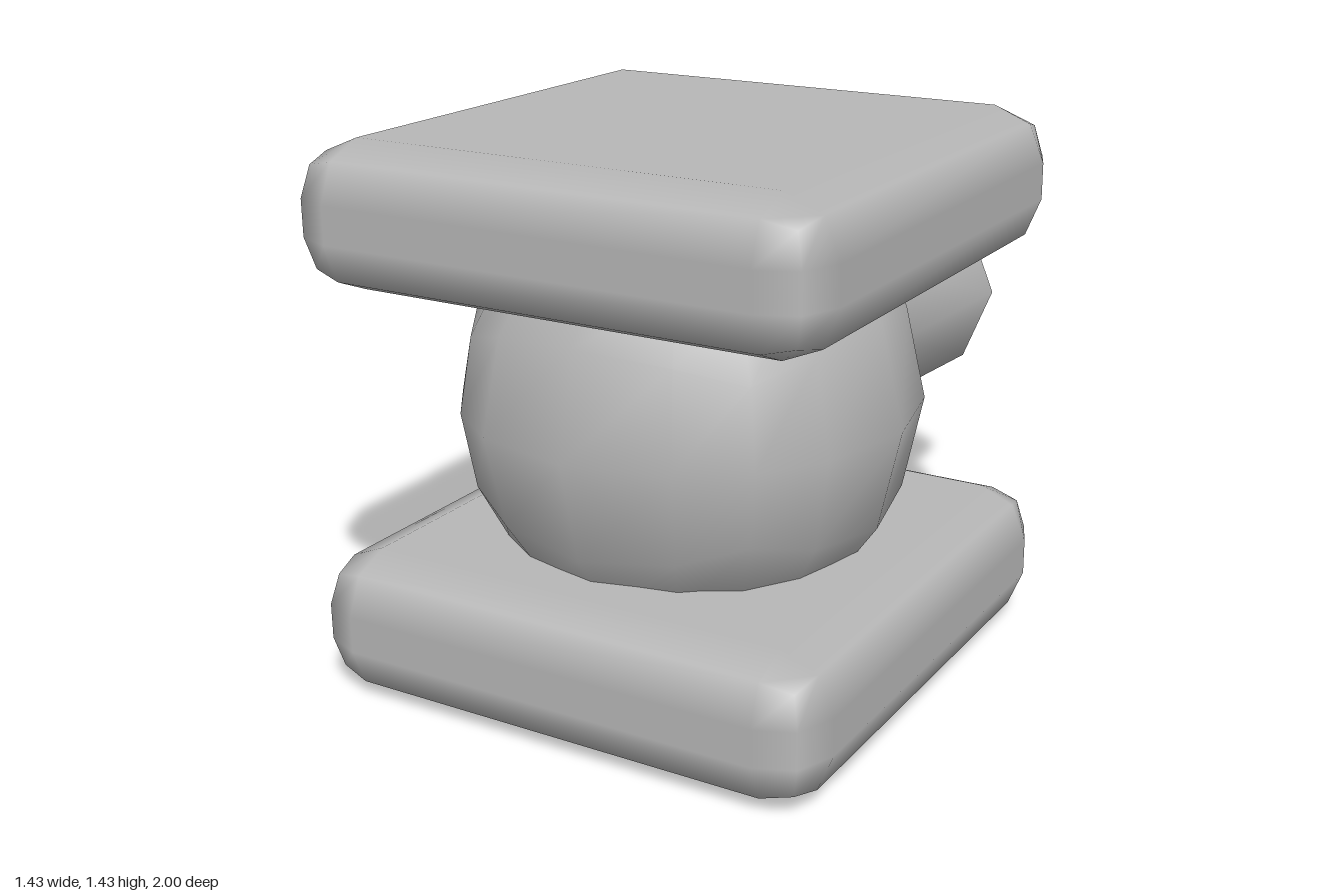
import * as THREE from 'three';
import { mergeVertices } from 'three/addons/utils/BufferGeometryUtils.js';
import { RoundedBoxGeometry } from 'three/addons/geometries/RoundedBoxGeometry.js';

const CENTRE_Y = 0.7175, CENTRE_Z = 0.283;
const SIDES = 8;

// Subdivided-cube ball whose back opens into an eight-sided neck.
// rings: [radius, z] from the ball to the mouth; inward flips the faces.
function ballWithNeck(radius, rings, inward) {
  const box = new THREE.BoxGeometry(2, 2, 2, 4, 4, 4).toNonIndexed();
  const pos = box.attributes.position;
  const out = [];
  const tri = (a, b, c) => {
    for (const p of inward ? [a, c, b] : [a, b, c]) out.push(p.x, p.y, p.z);
  };
  const ringPoint = (ring, k) => {
    const a = ((k + SIDES) % SIDES) * Math.PI * 2 / SIDES;
    return new THREE.Vector3(Math.cos(a) * ring[0], CENTRE_Y + Math.sin(a) * ring[0], ring[1]);
  };
  const inPort = (p) => p.z < -0.99 && Math.abs(p.x) < 0.51 && Math.abs(p.y) < 0.51;
  const place = (p) => {
    if (inPort(p)) return ringPoint(rings[0], Math.round(Math.atan2(p.y, p.x) / (Math.PI / 4)));
    const q = p.clone().normalize().multiplyScalar(radius);
    return q.add(new THREE.Vector3(0, CENTRE_Y, CENTRE_Z));
  };
  for (let i = 0; i < pos.count; i += 3) {
    const corners = [0, 1, 2].map((j) => new THREE.Vector3().fromBufferAttribute(pos, i + j));
    if (corners.every(inPort)) continue;
    tri(...corners.map(place));
  }
  for (let r = 0; r < rings.length - 1; r++) {
    for (let k = 0; k < SIDES; k++) {
      const a0 = ringPoint(rings[r], k), b0 = ringPoint(rings[r], k + 1);
      const a1 = ringPoint(rings[r + 1], k), b1 = ringPoint(rings[r + 1], k + 1);
      tri(a0, a1, b0);
      tri(b0, a1, b1);
    }
  }
  const raw = new THREE.BufferGeometry();
  raw.setAttribute('position', new THREE.Float32BufferAttribute(out, 3));
  const geometry = mergeVertices(raw, 1e-4);
  geometry.computeVertexNormals();
  return geometry;
}

export function createModel() {
  const group = new THREE.Group();
  const grey = new THREE.MeshStandardMaterial({ color: 0xb8b8b8 });
  grey.name = 'grey';
  const add = (name, geometry) => {
    const mesh = new THREE.Mesh(geometry, grey);
    mesh.name = name;
    group.add(mesh);
    return mesh;
  };

  // Rounded square plates below and above the ball
  for (const [name, y] of [['bottomPlate', 0.1875], ['topPlate', 1.2475]]) {
    add(name, new RoundedBoxGeometry(1.434, 0.375, 1.434, 1, 0.14)).position.set(0, y, CENTRE_Z);
  }

  // Ball and flared neck, with a hollow inside
  add('ballAndNeck', ballWithNeck(0.603, [[0.325, -0.25], [0.278, -0.405], [0.308, -1]], false));
  add('hollowInside', ballWithNeck(0.545, [[0.268, -0.2], [0.222, -0.39], [0.25, -1]], true));

  // Flat rim of the neck
  const rim = add('neckRim', new THREE.RingGeometry(0.25, 0.308, SIDES));
  rim.rotation.y = Math.PI;
  rim.position.set(0, CENTRE_Y, -1);

  return group;
}
